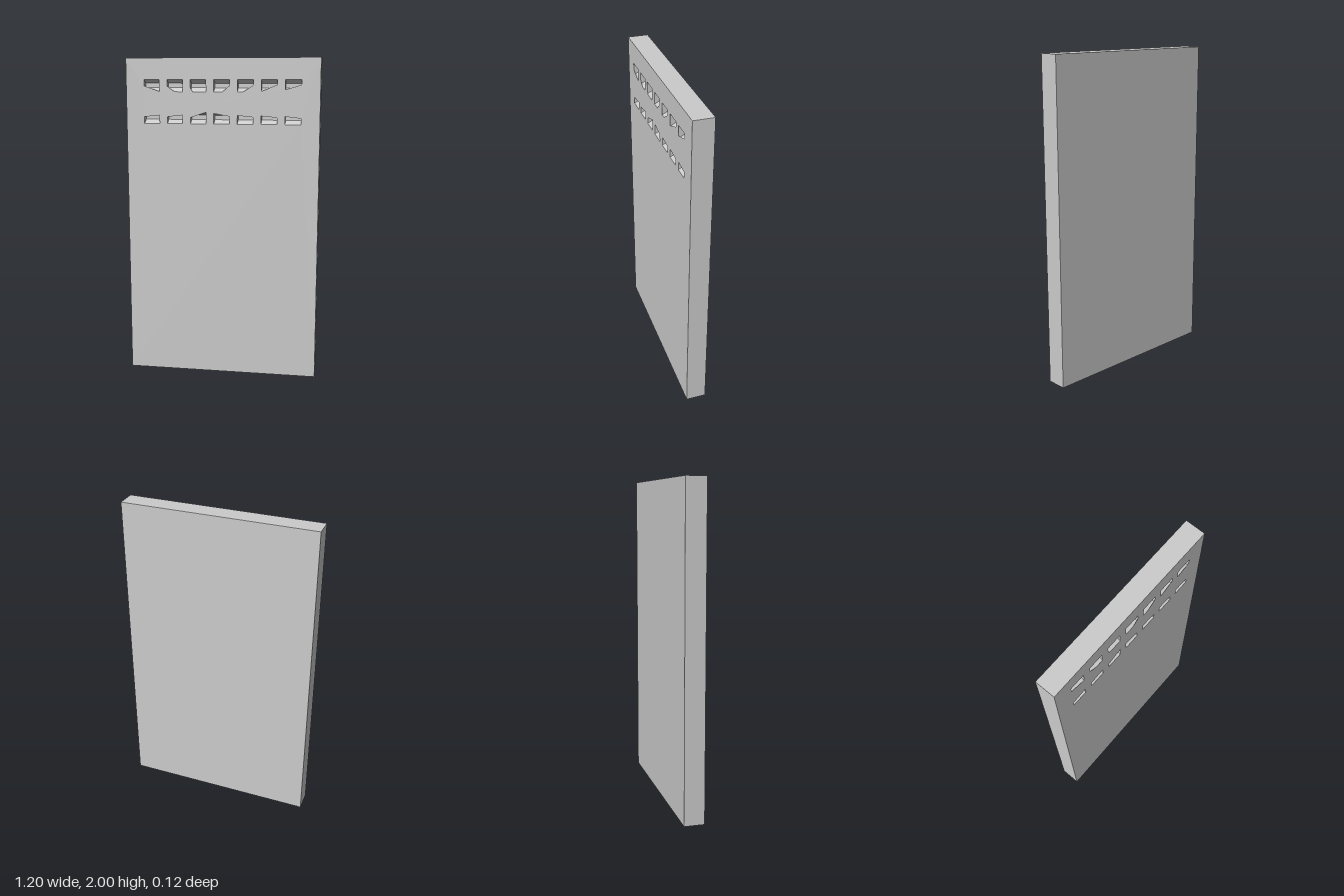
import * as THREE from 'three';

const W = 1.2, H = 2, D = 0.125;                    // panel
const SLOT_W = 0.097, SLOT_H = 0.075, SLOT_D = 0.045, PITCH = 0.146;
const TAPER = 0.024;                                // slope of recess roof and floor

// Edge of each vent opening as [across, up] fractions of the slot, left to right
const UPPER_SILLS = [
  [[0, 0.48], [1, 0.02]],
  [[0, 0.45], [0.5, 0], [1, 0]],
  [[0, 0.35], [0.15, 0], [1, 0]],
  [[0, 0], [0.55, 0], [1, 0.5]],
  [[0, 0], [0.35, 0], [1, 0.55]],
  [[0, 0.05], [1, 0.58]],
  [[0, 0.2], [1, 0.58]],
];
const LOWER_HEADS = [[0.54, 0.68], [0.55, 0.7], [0.5, 0.93], [0.85, 0.62], [0.7, 0.57], [0.68, 0.55], [0.65, 0.5]]
  .map(([l, r]) => [[0, l], [1, r]]);
const ROWS = [
  { name: 'upperVent', y: 1.795, edges: UPPER_SILLS, flat: 1 },
  { name: 'lowerVent', y: 1.6, edges: LOWER_HEADS, flat: 0 },
];

// Box without some faces (0 +x, 1 -x, 2 +y, 3 -y, 4 +z, 5 -z)
function openBox(w, h, d, missing) {
  const geo = new THREE.BoxGeometry(w, h, d);
  geo.setIndex(Array.from(geo.index.array).filter((_, i) => !missing.includes(Math.floor(i / 6))));
  geo.clearGroups();
  return geo;
}

// Recess open at the front, its roof and floor closing in towards the back
function recessGeometry() {
  const geo = openBox(SLOT_W, SLOT_H, SLOT_D, [4]);
  const p = geo.attributes.position;
  for (let i = 0; i < p.count; i++) {
    if (p.getZ(i) < 0) p.setY(i, p.getY(i) - Math.sign(p.getY(i)) * TAPER);
  }
  geo.computeVertexNormals();
  return geo;
}

export function createModel() {
  const group = new THREE.Group();
  const material = new THREE.MeshStandardMaterial({ color: 0xcccccc, side: THREE.DoubleSide });
  const add = (name, geo, x = 0, y = 0, z = 0) => {
    const mesh = new THREE.Mesh(geo, material);
    mesh.name = name;
    mesh.position.set(x, y, z);
    group.add(mesh);
  };

  // Back, sides and top; the underside is open
  add('casing', openBox(W, H, D, [3, 4]), 0, H / 2, 0);

  // Front sheet with vent openings, and a recess behind each one
  const front = new THREE.Shape();
  front.moveTo(-W / 2, 0).lineTo(W / 2, 0).lineTo(W / 2, H).lineTo(-W / 2, H).closePath();
  const recess = recessGeometry();
  for (const { name, y, edges, flat } of ROWS) {
    edges.forEach((edge, i) => {
      const x = (i - 3) * PITCH;
      const outline = [...edge, [1, flat], [0, flat]].map(
        ([u, v]) => new THREE.Vector2(x + (u - 0.5) * SLOT_W, y + v * SLOT_H));
      front.holes.push(new THREE.Path(outline));
      add(name, recess, x, y + SLOT_H / 2, D / 2 - SLOT_D / 2);
    });
  }
  add('frontPanel', new THREE.ShapeGeometry(front), 0, 0, D / 2);

  return group;
}
